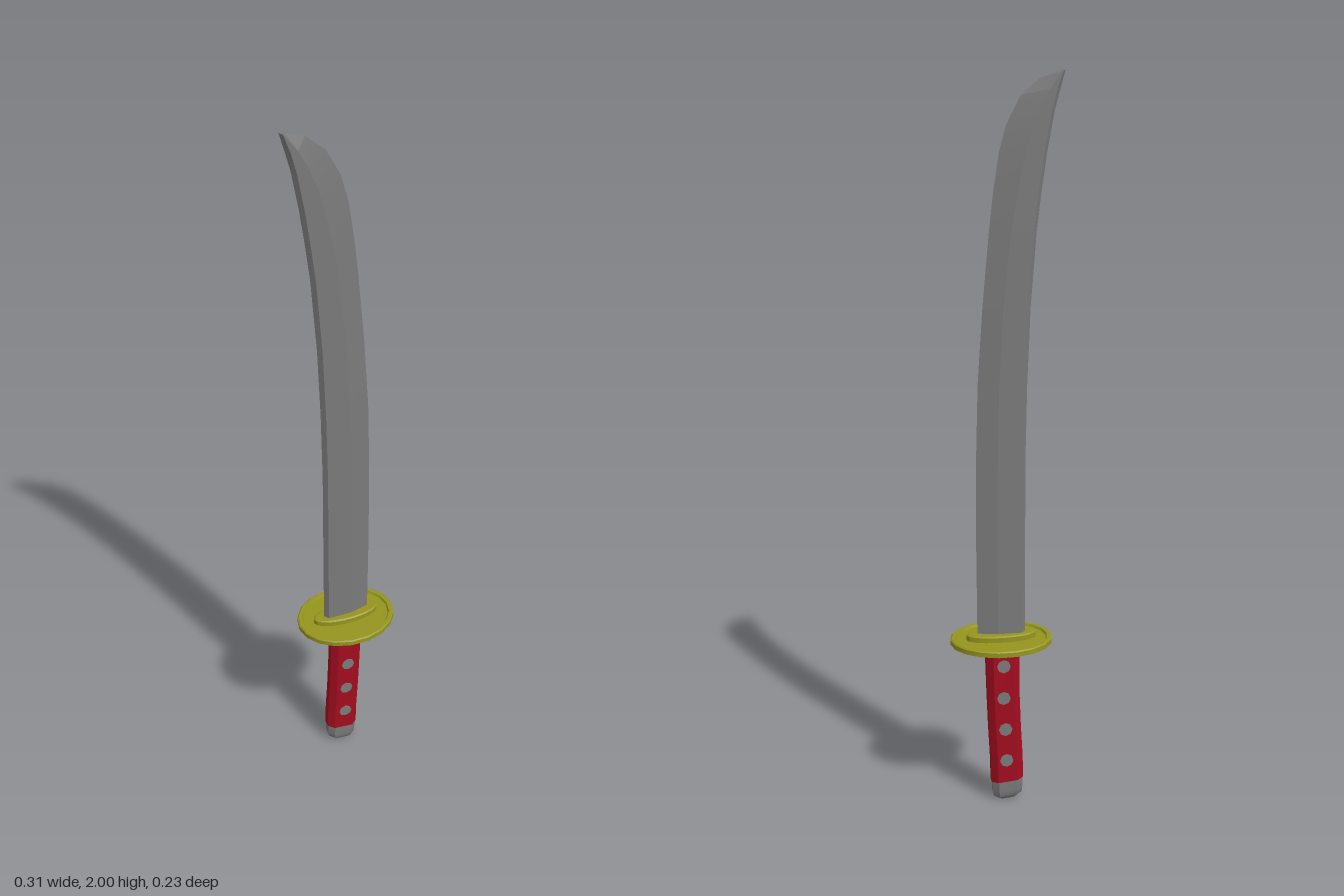
import * as THREE from 'three';
import { toCreasedNormals } from 'three/addons/utils/BufferGeometryUtils.js';

const mat = (name, color) => new THREE.MeshStandardMaterial({ name, color });

// Skin a stack of rings (each counter-clockwise from above) and cap both ends.
function loft(rings, crease) {
  const n = rings[0].length, pos = rings.flat(2), idx = [];
  for (let i = 0; i < rings.length - 1; i++) {
    for (let j = 0; j < n; j++) {
      const k = (j + 1) % n, a = i * n + j, b = i * n + k;
      idx.push(a, b, b + n, a, b + n, a + n);
    }
  }
  const top = (rings.length - 1) * n;
  for (let j = 1; j < n - 1; j++) {
    idx.push(0, j + 1, j, top, top + j, top + j + 1);
  }
  const g = new THREE.BufferGeometry();
  g.setAttribute('position', new THREE.Float32BufferAttribute(pos, 3));
  g.setIndex(idx);
  return toCreasedNormals(g, crease);
}

// Elliptical ring
const ellipse = (cx, y, rx, rz, n = 18) => Array.from({ length: n }, (_, j) => {
  const t = (j / n) * Math.PI * 2;
  return [cx + rx * Math.cos(t), y, -rz * Math.sin(t)];
});

// Bevelled grip ring with flat front and back; slope tilts it along x
const gripRing = (cx, y, a, b, slope = 0) =>
  [[1, 0.4], [0.62, 1], [-0.62, 1], [-1, 0.4], [-1, -0.4], [-0.62, -1], [0.62, -1], [1, -0.4]]
    .map(([u, v]) => [cx + u * a, y + slope * u * a, -v * b]);

export function createModel() {
  const sword = new THREE.Group();
  sword.name = 'sword';
  const steel = mat('steel grey', 0x7a7a7a);
  const gold = mat('dull gold', 0x95951f);
  const red = mat('grip red', 0xa30d1f);
  const add = (name, geo, material) => {
    const m = new THREE.Mesh(geo, material);
    m.name = name;
    sword.add(m);
    return m;
  };

  // Blade stations: spine x,y  ridge x,y  cutting edge x,y
  const stations = [
    [-0.055, 0.49, 0.022, 0.49, 0.077, 0.49],
    [-0.055, 0.75, 0.023, 0.75, 0.079, 0.75],
    [-0.055, 1.0, 0.022, 1.0, 0.078, 1.0],
    [-0.059, 1.2, 0.018, 1.2, 0.073, 1.2],
    [-0.067, 1.4, 0.007, 1.4, 0.06, 1.4],
    [-0.082, 1.6, -0.013, 1.6, 0.042, 1.6],
    [-0.094, 1.7, -0.029, 1.7, 0.031, 1.7],
    [-0.108, 1.8, -0.05, 1.8, 0.016, 1.8],
    [-0.117, 1.85, -0.066, 1.855, -0.003, 1.87],
    [-0.126, 1.9, -0.088, 1.91, -0.04, 1.94],
    [-0.139, 1.95, -0.112, 1.955, -0.09, 1.982],
    [-0.153, 2.0, -0.143, 1.996, -0.138, 1.998],
  ];
  const half = 0.0135;
  add('blade', loft(stations.map(([sx, sy, rx, ry, ex, ey], i) => {
    const inset = i === stations.length - 1 ? 0.006 : 0.01;
    return [
      [ex, ey, 0], [rx, ry, -half], [sx + inset, sy, -half],
      [sx, sy, 0], [sx + inset, sy, half], [rx, ry, half],
    ];
  }), 0.15), steel);

  // Oval guard with a raised rim
  const gx = 0.011;
  add('guard', loft([
    ellipse(gx, 0.472, 0.132, 0.106),
    ellipse(gx, 0.475, 0.141, 0.115),
    ellipse(gx, 0.488, 0.141, 0.115),
    ellipse(gx, 0.491, 0.137, 0.112),
    ellipse(gx, 0.491, 0.127, 0.103),
    ellipse(gx, 0.485, 0.124, 0.1),
  ], 0.5), gold);

  // Collars above and below the guard
  add('upperCollar', loft([
    ellipse(gx, 0.48, 0.096, 0.035),
    ellipse(gx, 0.499, 0.096, 0.035),
    ellipse(gx, 0.502, 0.092, 0.031),
  ], 0.5), gold);
  add('lowerCollar', loft([
    ellipse(0.009, 0.458, 0.058, 0.032),
    ellipse(0.009, 0.478, 0.058, 0.032),
  ], 0.5), gold);

  // Gently curved grip
  add('grip', loft([
    gripRing(-0.005, 0.058, 0.045, 0.026, -0.1),
    gripRing(-0.003, 0.13, 0.045, 0.026, -0.06),
    gripRing(0.002, 0.22, 0.045, 0.026),
    gripRing(0.006, 0.32, 0.045, 0.026),
    gripRing(0.008, 0.41, 0.046, 0.026),
    gripRing(0.008, 0.465, 0.046, 0.026),
  ], 0.6), red);

  // Rounded end cap
  add('pommel', loft([
    gripRing(-0.006, 0.003, 0.027, 0.017, -0.1),
    gripRing(-0.006, 0.012, 0.039, 0.023, -0.1),
    gripRing(-0.006, 0.028, 0.042, 0.025, -0.1),
    gripRing(-0.005, 0.063, 0.0425, 0.025, -0.1),
  ], 0.7), steel);

  // Studs on both faces of the grip
  const studs = [[0.008, 0.41], [0.008, 0.315], [0.003, 0.22], [0, 0.125]];
  const studGeo = new THREE.CylinderGeometry(0.019, 0.019, 0.006, 8).rotateX(Math.PI / 2);
  for (const side of [1, -1]) {
    for (const [x, y] of studs) {
      add('stud', studGeo, steel).position.set(x, y, side * 0.0255);
    }
  }
  return sword;
}
